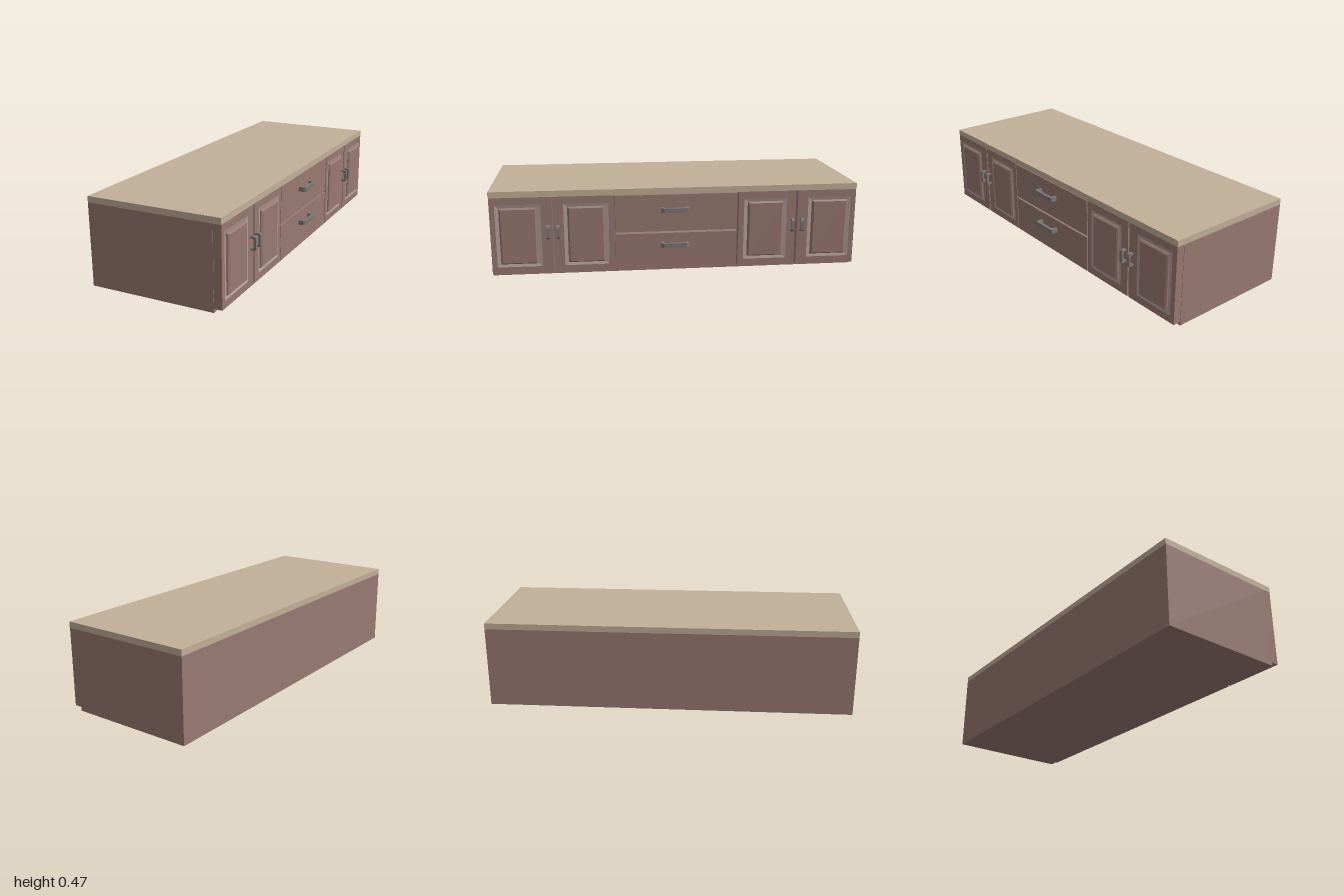
import * as THREE from 'three';

const mat = (color) => new THREE.MeshStandardMaterial({ color, flatShading: true });
const wood = mat(0x997a73), trim = mat(0xb3a09b), stone = mat(0xc2b098), metal = mat(0x7c7977);

// Box given by its limits on each axis
function box(name, x0, x1, y0, y1, z0, z1, material) {
  const m = new THREE.Mesh(new THREE.BoxGeometry(x1 - x0, y1 - y0, z1 - z0), material);
  m.position.set((x0 + x1) / 2, (y0 + y1) / 2, (z0 + z1) / 2);
  m.name = name;
  return m;
}

// Skin over rectangles stacked along +x; each is [x, y0, y1, z0, z1]
function rectLoft(name, rects, material, cap) {
  const pos = [], idx = [];
  for (const [x, y0, y1, z0, z1] of rects) pos.push(x, y0, z1, x, y0, z0, x, y1, z0, x, y1, z1);
  for (let i = 0; i < rects.length - 1; i++) {
    for (let k = 0; k < 4; k++) {
      const a = i * 4 + k, b = i * 4 + (k + 1) % 4;
      idx.push(a, b, b + 4, a, b + 4, a + 4);
    }
  }
  if (cap) {
    const e = (rects.length - 1) * 4;
    idx.push(e, e + 1, e + 2, e, e + 2, e + 3);
  }
  let g = new THREE.BufferGeometry();
  g.setAttribute('position', new THREE.Float32BufferAttribute(pos, 3));
  g.setIndex(idx);
  g = g.toNonIndexed();
  g.computeVertexNormals();
  const m = new THREE.Mesh(g, material);
  m.name = name;
  return m;
}

// Panelled door: slab, pale sloped groove, raised field centred on panelZ
function door(z0, z1, panelZ) {
  const g = new THREE.Group();
  g.name = 'door';
  const r = (x, hy, hz) => [x, 0.231 - hy, 0.231 + hy, panelZ - hz, panelZ + hz];
  const slab = (x) => [x, 0.02, 0.442, z0, z1];
  g.add(
    rectLoft('doorFrame', [slab(0.303), slab(0.347), r(0.347, 0.172, 0.12)], wood),
    rectLoft('panelGroove', [r(0.347, 0.172, 0.12), r(0.343, 0.155, 0.1)], trim),
    rectLoft('raisedPanel', [r(0.343, 0.155, 0.1), r(0.35, 0.154, 0.098), r(0.357, 0.147, 0.09)], wood, true),
    rectLoft('doorBack', [[0.303, 0.02, 0.442, z1, z0]], wood, true)
  );
  return g;
}

// Bow handle with chamfered corners, lying along z and standing out by depth
function handle(length, depth, bar, width) {
  const h = length / 2, c = depth * 0.35, s = new THREE.Shape();
  const outer = [[0, -h], [depth - c, -h], [depth - c * 0.3, -h + c * 0.3], [depth, -h + c]];
  const k = h - bar, d = depth - bar, e = c * 0.6;
  const inner = [[d, -k + e], [d - e, -k], [0, -k]];
  const flip = (list) => list.map(([x, y]) => [x, -y]).reverse();
  const pts = [...outer, ...flip(outer), ...flip(inner), ...inner];
  // inner run is traced back from the far foot to the near foot
  const path = pts.map(([x, y]) => new THREE.Vector2(x, y));
  const far = flip(inner).map(([x, y]) => new THREE.Vector2(x, y));
  const near = inner.map(([x, y]) => new THREE.Vector2(x, y));
  s.setFromPoints([...path.slice(0, 8), ...far, ...near]);
  const geo = new THREE.ExtrudeGeometry(s, { depth: width, bevelEnabled: false });
  geo.translate(0, 0, -width / 2);
  geo.rotateX(Math.PI / 2);
  const m = new THREE.Mesh(geo, metal);
  m.name = 'handle';
  return m;
}

export function createModel() {
  const model = new THREE.Group();
  model.name = 'kitchenCabinet';

  // Carcass and worktop
  model.add(box('carcass', -0.39, 0.303, 0, 0.442, -1, 1, wood));
  model.add(box('worktop', -0.39, 0.347, 0.442, 0.475, -1, 1, stone));

  // A pair of doors with upright handles at each end
  for (const s of [-1, 1]) {
    for (const [a, b, panel, pull] of [[0.34, 0.66, 0.49, 0.641], [0.67, 0.998, 0.85, 0.694]]) {
      model.add(door(Math.min(a * s, b * s), Math.max(a * s, b * s), panel * s));
      const h = handle(0.073, 0.03, 0.011, 0.018);
      h.rotation.x = Math.PI / 2;
      h.position.set(0.347, 0.251, pull * s);
      model.add(h);
    }
  }

  // Two wide drawers with level handles
  for (const [y0, y1, hy] of [[0.02, 0.223, 0.162], [0.234, 0.438, 0.358]]) {
    model.add(box('drawerFront', 0.303, 0.347, y0, y1, -0.332, 0.335, wood));
    const h = handle(0.153, 0.041, 0.016, 0.025);
    h.position.set(0.347, hy, 0.012);
    model.add(h);
  }
  return model;
}
